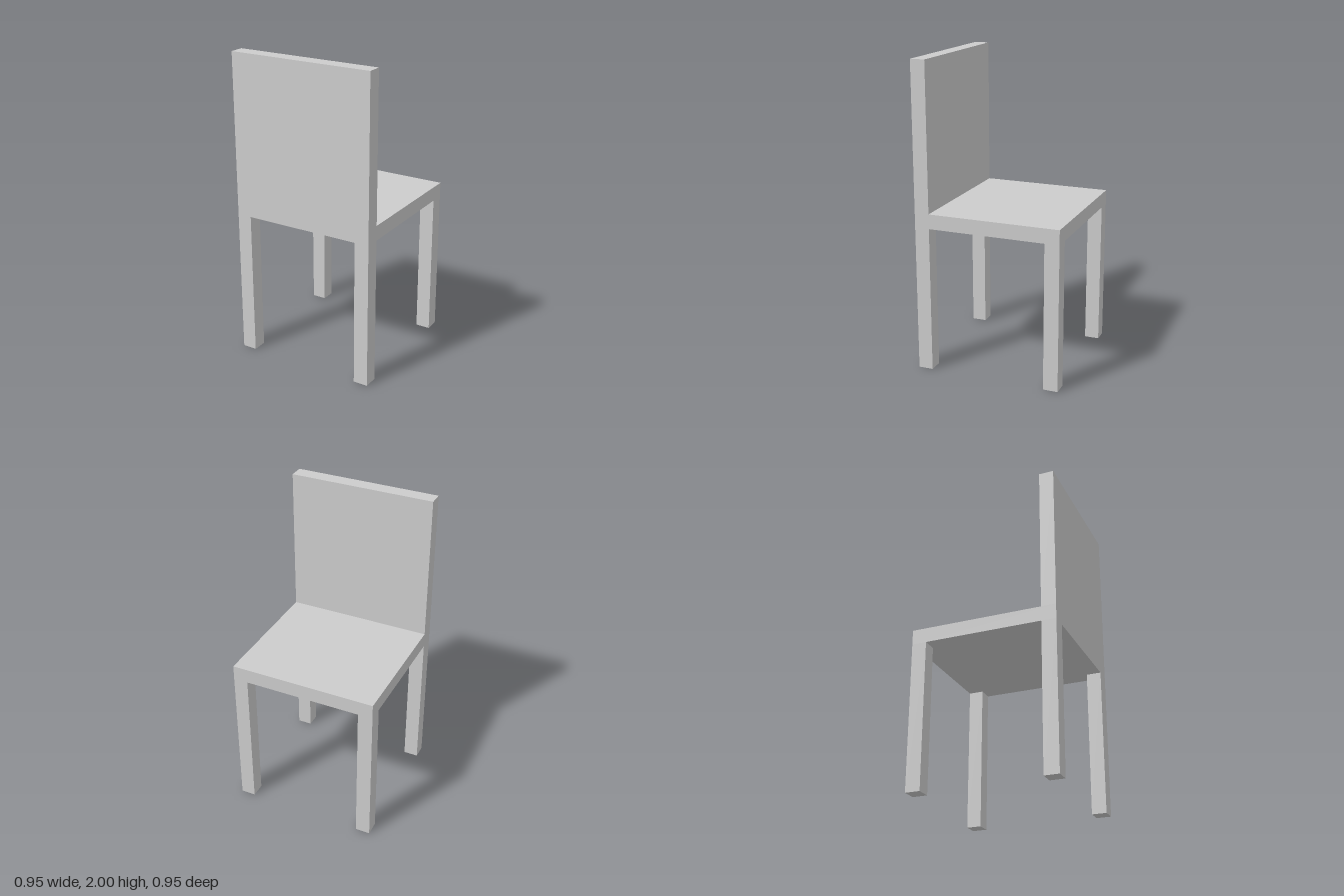
import * as THREE from 'three';

const U = 2 / 21; // board thickness: the chair is 21 thicknesses tall, 10 wide and deep

export function createModel() {
  const chair = new THREE.Group();
  chair.name = 'chair';
  const material = new THREE.MeshStandardMaterial({ color: 0xcccccc, flatShading: true });

  // Box sized in thicknesses, placed by the centre of its base
  const addBox = (name, [w, h, d], [x, y, z]) => {
    const mesh = new THREE.Mesh(new THREE.BoxGeometry(w * U, h * U, d * U), material);
    mesh.position.set(x * U, (y + h / 2) * U, z * U);
    mesh.name = name;
    chair.add(mesh);
  };

  // Four square legs, flush with the seat corners
  for (const [side, x] of [['Left', 4.5], ['Right', -4.5]]) {
    addBox(`backrestLeg${side}`, [1, 10, 1], [x, 0, 4.5]);
    addBox(`openSideLeg${side}`, [1, 10, 1], [x, 0, -4.5]);
  }

  // Seat slab and the upright panel along its +z edge
  addBox('seat', [10, 1, 10], [0, 10, 0]);
  addBox('backrest', [10, 10, 1], [0, 11, 4.5]);

  return chair;
}
